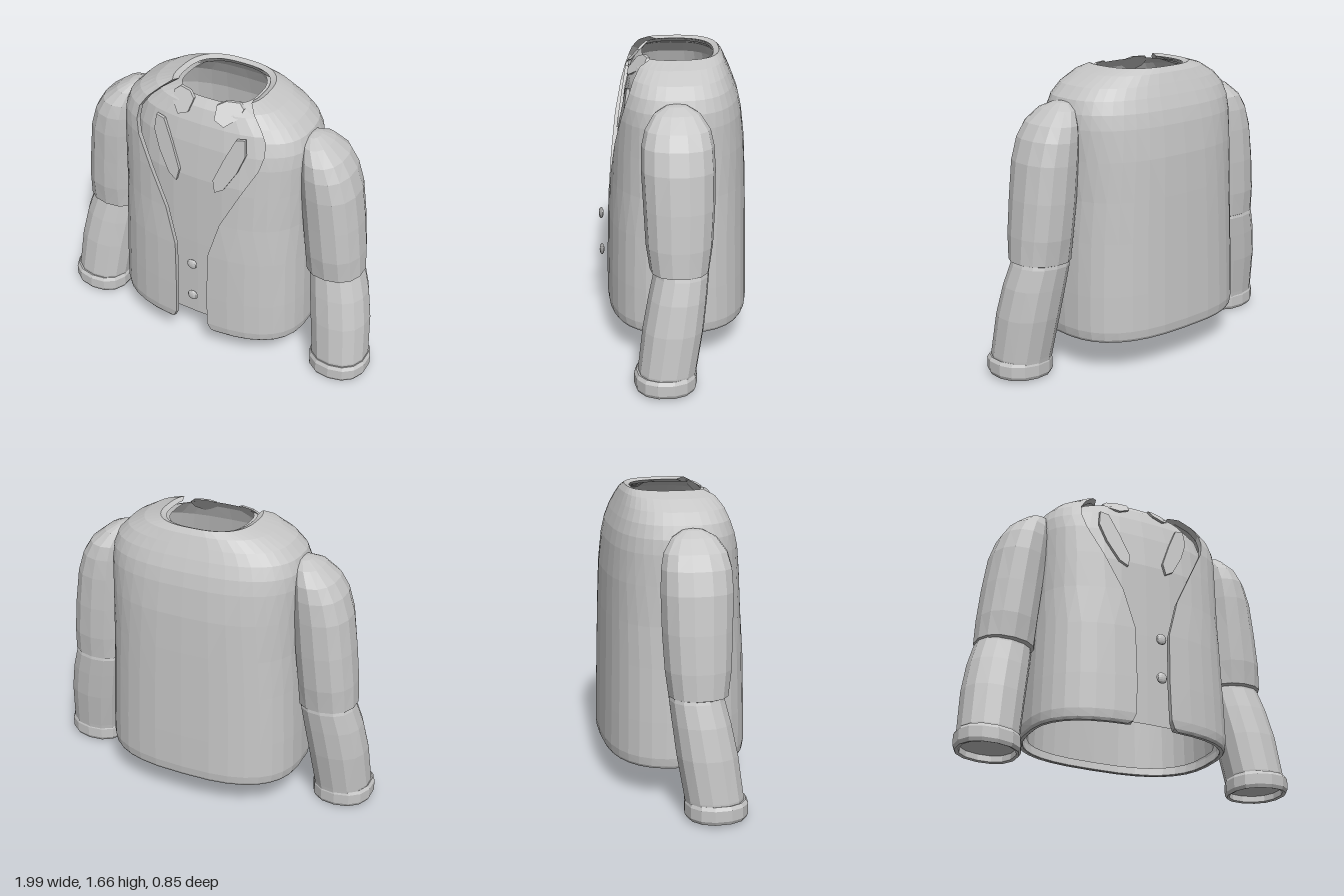
import * as THREE from 'three';

const cloth = new THREE.MeshStandardMaterial({ color: 0xc6c6c6, side: THREE.DoubleSide });
cloth.name = 'grey cloth';

// Superellipse roundness of the cross-sections
const TORSO = 2.7, SLEEVE = 2.25;
const pw = (v, n) => Math.sign(v) * Math.abs(v) ** (2 / n);
const dist = (p, q) => Math.hypot(p[0] - q[0], p[1] - q[1], p[2] - q[2]);

// Faceted surface through a grid of points: rows go up, columns go anticlockwise seen from above
function surface(grid) {
  const pos = [];
  for (let i = 0; i < grid.length - 1; i++) {
    for (let j = 0; j < grid[i].length - 1; j++) {
      const a = grid[i][j], b = grid[i + 1][j], c = grid[i + 1][j + 1], d = grid[i][j + 1];
      // Split each quad along its shorter diagonal
      if (dist(a, c) < dist(b, d)) pos.push(...a, ...d, ...c, ...a, ...c, ...b);
      else pos.push(...a, ...d, ...b, ...d, ...c, ...b);
    }
  }
  const g = new THREE.BufferGeometry();
  g.setAttribute('position', new THREE.Float32BufferAttribute(pos, 3));
  g.computeVertexNormals();
  return g;
}

function part(name, geometry, parent) {
  const m = new THREE.Mesh(geometry, cloth);
  m.name = name;
  parent.add(m);
  return m;
}

// Torso ring: half width, front and back depth, and half width of the front opening
function torsoRing([y, hx, zf, zb, edge = 0]) {
  const n = 32, start = Math.asin((edge / hx) ** (TORSO / 2));
  return Array.from({ length: n + 1 }, (_, j) => {
    const a = start + (j / n) * (2 * Math.PI - 2 * start);
    const c = pw(Math.cos(a), TORSO);
    return [hx * pw(Math.sin(a), TORSO), y, c > 0 ? zf * c : -zb * c];
  });
}

// Sleeve ring from x and z limits, tilted slightly outward
function sleeveRing([y, x0, x1, z0, z1]) {
  const n = 14, cx = (x0 + x1) / 2, cz = (z0 + z1) / 2;
  return Array.from({ length: n + 1 }, (_, j) => {
    const a = (j / n) * 2 * Math.PI;
    const x = cx + ((x1 - x0) / 2) * pw(Math.sin(a), SLEEVE) * 1.01;
    return [x, y + 0.05 * (x - cx), cz + ((z1 - z0) / 2) * pw(Math.cos(a), SLEEVE)];
  });
}

// Thin plate cut from an outline and laid on a slope
function plate(outline, depthAt) {
  const shape = new THREE.Shape(outline.map(([x, y]) => new THREE.Vector2(x, y)));
  const g = new THREE.ExtrudeGeometry(shape, { depth: 0.018, bevelEnabled: false });
  const p = g.attributes.position;
  for (let i = 0; i < p.count; i++) p.setZ(i, p.getZ(i) + depthAt(p.getX(i), p.getY(i)));
  g.computeVertexNormals();
  return g;
}

function addJacket(parent) {
  const rows = [
    [0.185, 0.575, 0.37, -0.412, 0.15], [0.2, 0.583, 0.38, -0.42, 0.125],
    [0.245, 0.59, 0.386, -0.425, 0.105],
    [0.45, 0.585, 0.383, -0.42, 0.1], [0.75, 0.573, 0.375, -0.412, 0.105],
    [0.98, 0.565, 0.36, -0.405, 0.17], [1.2, 0.565, 0.348, -0.395, 0.28],
    [1.37, 0.567, 0.335, -0.375, 0.37], [1.45, 0.56, 0.32, -0.357, 0.39],
    [1.52, 0.535, 0.297, -0.33, 0.385], [1.58, 0.475, 0.272, -0.303, 0.345],
    [1.635, 0.375, 0.237, -0.278, 0.285], [1.665, 0.27, 0.21, -0.255, 0.24],
  ];
  const outer = rows.map(torsoRing);
  const inner = rows.map(([y, hx, zf, zb, e], i) => {
    const t = i ? 0.03 : 0.018; // the hem is thinner than the lined cloth
    return torsoRing([i ? y - 0.012 : y, hx - t, zf - t, zb + t, Math.min(e, hx - t - 0.012)]);
  });
  part('jacketShell', surface([...outer, ...[...inner].reverse(), outer[0]]), parent);
  // Front edges close the gap between cloth and lining
  part('leftFrontEdge', surface(outer.map((o, i) => [inner[i][0], o[0]])), parent);
  part('rightFrontEdge', surface(outer.map((o, i) => [o.at(-1), inner[i].at(-1)])), parent);
}

function addShirt(parent) {
  const rows = [
    [0.225, 0.53, 0.305, -0.385], [0.75, 0.52, 0.305, -0.375], [1.2, 0.51, 0.298, -0.355],
    [1.4, 0.505, 0.272, -0.33], [1.52, 0.465, 0.245, -0.29], [1.6, 0.36, 0.212, -0.25],
    [1.645, 0.22, 0.17, -0.22],
  ];
  part('shirt', surface(rows.map(torsoRing)), parent);
}

function buildSide(name) {
  const side = new THREE.Group();
  side.name = name;

  // Puffed upper sleeve overlapping the forearm
  part('upperSleeve', surface([
    [0.65, 0.585, 0.865, -0.145, 0.125], [0.66, 0.56, 0.89, -0.167, 0.15],
    [0.8, 0.55, 0.882, -0.185, 0.17], [1.0, 0.53, 0.86, -0.195, 0.18],
    [1.2, 0.515, 0.83, -0.197, 0.19], [1.32, 0.51, 0.79, -0.19, 0.187],
    [1.4, 0.51, 0.74, -0.172, 0.168], [1.47, 0.51, 0.655, -0.12, 0.12],
    [1.503, 0.515, 0.59, -0.055, 0.055], [1.51, 0.55, 0.55, 0, 0],
  ].map(sleeveRing)), side);

  // Forearm, closed by a flat end inside the cuff
  part('lowerSleeve', surface([
    [0.05, 0.8175, 0.8175, 0.0625, 0.0625], [0.05, 0.66, 0.975, -0.09, 0.215],
    [0.12, 0.65, 0.977, -0.1, 0.218], [0.35, 0.617, 0.957, -0.137, 0.19],
    [0.52, 0.59, 0.925, -0.155, 0.158], [0.64, 0.573, 0.888, -0.165, 0.13],
    [0.7, 0.585, 0.865, -0.155, 0.125],
  ].map(sleeveRing)), side);

  // Rolled cuff, outside then inside
  const cuff = [
    [0.01, 0.655, 0.985, -0.09, 0.23], [0.03, 0.645, 0.995, -0.1, 0.24],
    [0.09, 0.645, 0.995, -0.1, 0.24], [0.11, 0.655, 0.982, -0.093, 0.228],
    [0.105, 0.67, 0.965, -0.08, 0.212], [0.015, 0.67, 0.965, -0.075, 0.215],
  ].map(sleeveRing);
  part('cuff', surface([...cuff, cuff[0]]), side);

  part('lapelLeaf', plate([
    [0.27, 1.51], [0.22, 1.5], [0.16, 1.37], [0.105, 1.23], [0.12, 1.16],
    [0.17, 1.19], [0.24, 1.31], [0.28, 1.42],
  ], (x, y) => 0.295 - 0.14 * (y - 1.2) - 0.08 * (x - 0.12)), side);

  part('collarTab', plate([
    [0.11, 1.655], [0.07, 1.635], [0.08, 1.575], [0.14, 1.55], [0.2, 1.59],
    [0.21, 1.63], [0.18, 1.655],
  ], (x, y) => 0.22 - 0.9 * (y - 1.58) - 0.3 * (x - 0.1)), side);
  return side;
}

export function createModel() {
  const model = new THREE.Group();
  model.name = 'jacket';
  addJacket(model);
  addShirt(model);

  const left = buildSide('leftSide');
  const right = buildSide('rightSide');
  right.scale.x = -1;
  model.add(left, right);

  // Flattened buttons down the front
  for (const y of [0.69, 0.46]) {
    const g = new THREE.SphereGeometry(0.032, 10, 8).toNonIndexed();
    g.computeVertexNormals();
    const b = part('button', g, model);
    b.scale.z = 0.45;
    b.position.set(0.03, y, 0.415);
  }
  return model;
}
